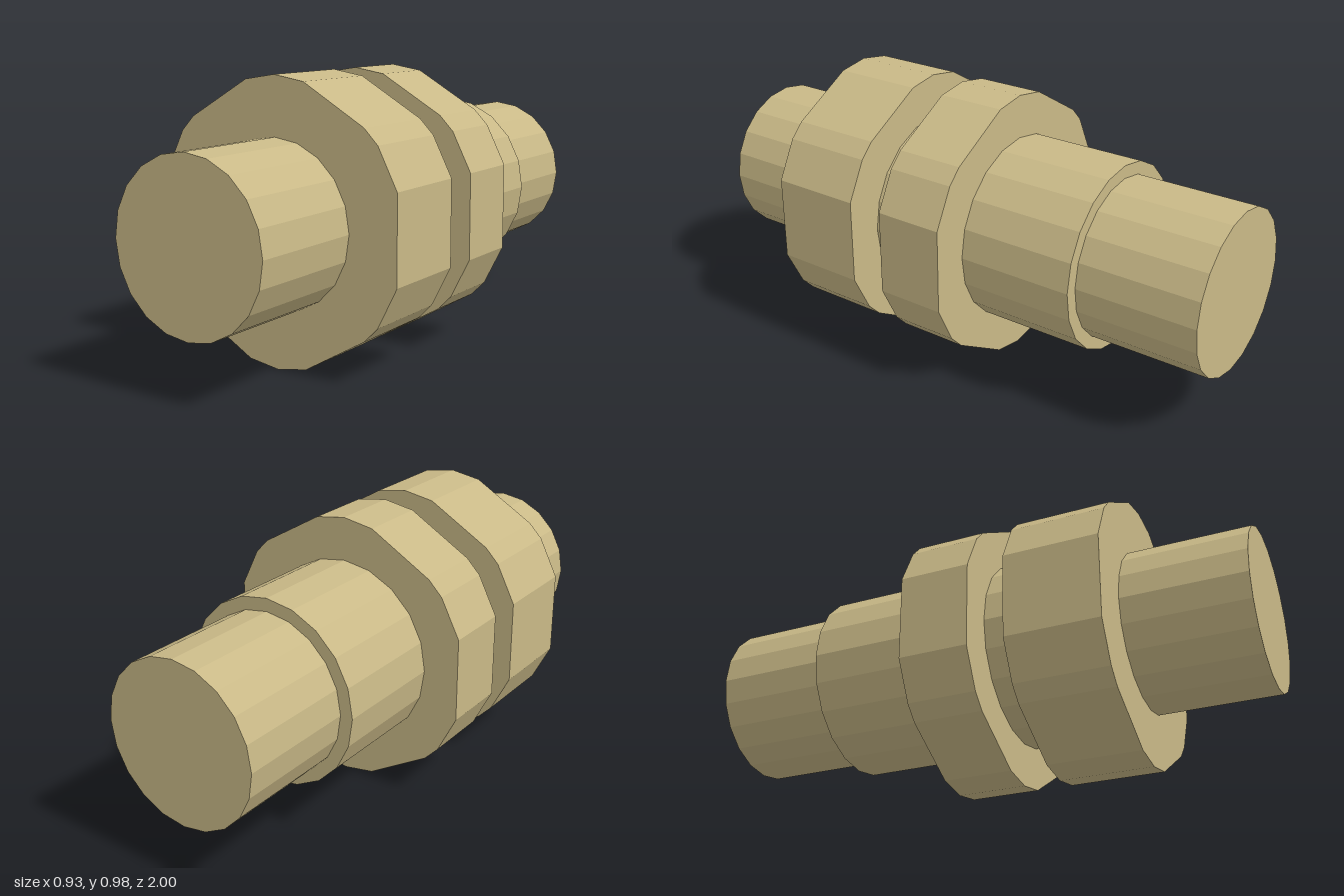
import * as THREE from 'three';

const AXIS_Y = 0.4875;
const SIDES = 20;

// Regular outline with a vertex at the top
function roundOutline(radius) {
  return Array.from({ length: SIDES }, (_, i) => {
    const a = (i / SIDES) * Math.PI * 2;
    return new THREE.Vector2(radius * Math.cos(a), radius * Math.sin(a));
  });
}

// Hexagon with rounded-off corners: one quarter, mirrored to all four
function nutOutline() {
  const quarter = [[0.463, 0.149], [0.393, 0.286], [0.343, 0.337], [0.115, 0.469]];
  const back = [...quarter].reverse();
  const points = [
    ...quarter, [0, 0.4875],
    ...back.map(([x, y]) => [-x, y]),
    ...quarter.map(([x, y]) => [-x, -y]), [0, -0.4875],
    ...back.map(([x, y]) => [x, -y]),
  ];
  return points.map(([x, y]) => new THREE.Vector2(x, y));
}

export function createModel() {
  const group = new THREE.Group();
  group.name = 'pipeFitting';
  const brass = new THREE.MeshStandardMaterial({ color: 0xc9b987, flatShading: true });
  brass.name = 'brass';

  // Solid section along z between two stations
  function addSection(name, outline, zBack, zFront) {
    const geometry = new THREE.ExtrudeGeometry(new THREE.Shape(outline), {
      depth: zFront - zBack, bevelEnabled: false,
    });
    const mesh = new THREE.Mesh(geometry, brass);
    mesh.name = name;
    mesh.position.set(0, AXIS_Y, zBack);
    group.add(mesh);
  }

  // Pipe ends
  addSection('frontPipe', roundOutline(0.287), 0.57, 1);
  addSection('rearPipe', roundOutline(0.287), -1, -0.567);

  // Sleeve between and behind the nuts
  addSection('neck', roundOutline(0.333), 0.105, 0.235);
  addSection('rearSleeve', roundOutline(0.333), -0.567, -0.145);

  // Nuts
  addSection('frontNut', nutOutline(), 0.235, 0.57);
  addSection('rearNut', nutOutline(), -0.145, 0.105);

  return group;
}
